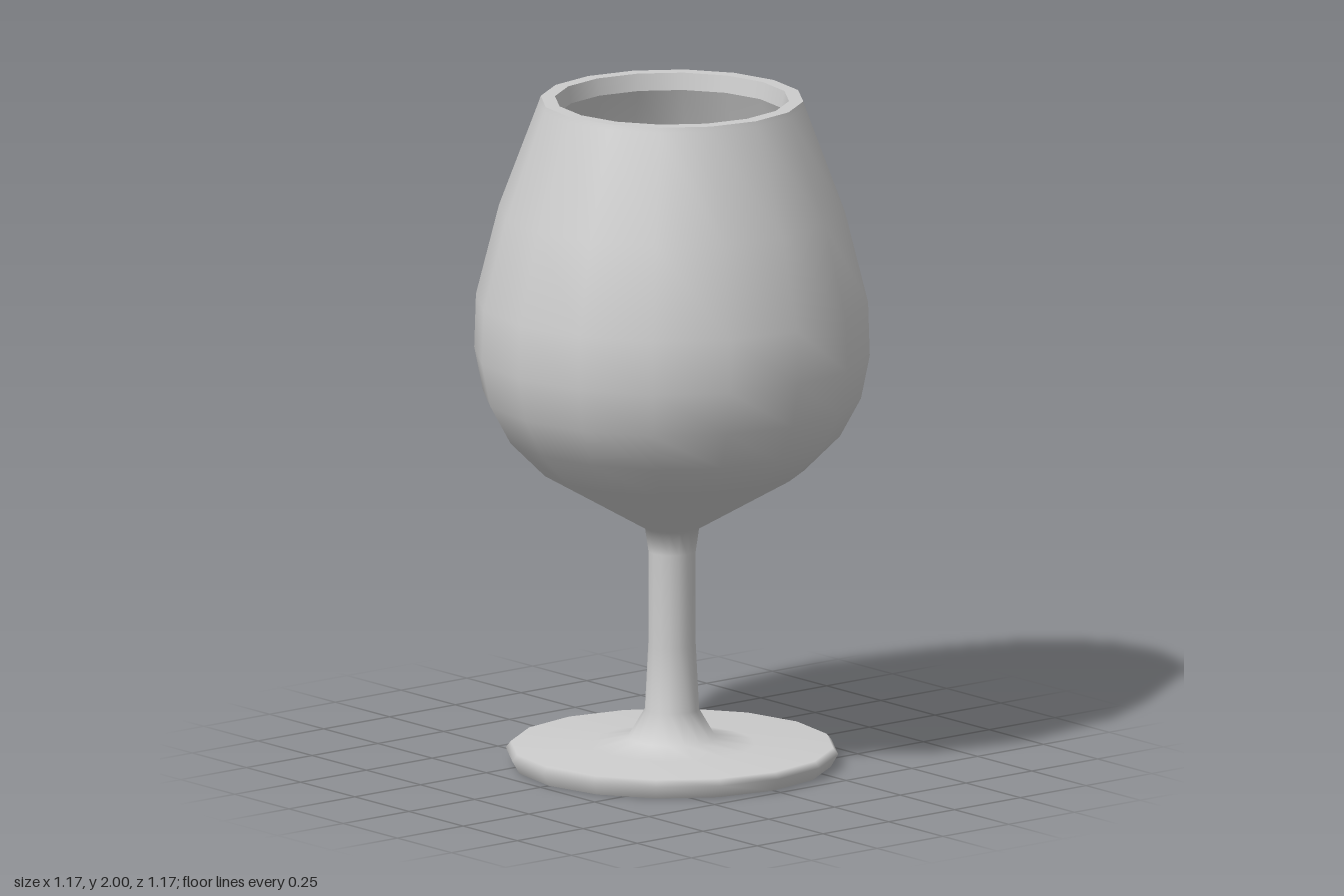
import * as THREE from 'three';

const SIDES = 16;

// Outside silhouette [radius, height], from the foot's lower edge up to the rim
const OUTSIDE = [
  [0.468, 0], [0.49, 0.038], [0.475, 0.057], [0.245, 0.06], [0.13, 0.08],
  [0.08, 0.165], [0.07, 0.36], [0.07, 0.64], [0.08, 0.71],
  [0.39, 0.89], [0.495, 0.995], [0.557, 1.11], [0.583, 1.24], [0.578, 1.4],
  [0.51, 1.67], [0.392, 1.985], [0.387, 2],
];

// Hollow of the bowl, from under the lip down to the centre
const INSIDE = [
  [0.335, 1.95], [0.455, 1.66], [0.525, 1.4], [0.53, 1.25], [0.505, 1.13],
  [0.45, 1.03], [0.36, 0.94], [0.1, 0.79], [0, 0.78],
];

// Turns a profile; from/to keep only some of its bands, with normals smooth across the cuts
function turned(profile, from = 0, to = profile.length - 1) {
  const geometry = new THREE.LatheGeometry(profile.map(([r, y]) => new THREE.Vector2(r, y)), SIDES);
  const all = geometry.index.array;
  const bands = profile.length - 1;
  const index = [];
  for (let side = 0; side < SIDES; side++) {
    const start = side * bands * 6;
    index.push(...all.slice(start + from * 6, start + to * 6));
  }
  geometry.setIndex(index);
  return geometry;
}

export function createModel() {
  const glass = new THREE.MeshStandardMaterial({ color: 0xcccccc });
  glass.name = 'pale grey glass';

  const model = new THREE.Group();
  model.name = 'stemmedGlass';
  const add = (name, geometry) => {
    const mesh = new THREE.Mesh(geometry, glass);
    mesh.name = name;
    model.add(mesh);
  };

  // Foot, stem and bowl share one continuous outer surface
  add('footUnderside', turned([[0, 0], [0.468, 0]]));
  add('foot', turned(OUTSIDE, 0, 4));
  add('stem', turned(OUTSIDE, 4, 8));
  add('bowlOutside', turned(OUTSIDE, 8));

  // Flat rim, short lip sloping inwards, then the hollow
  add('rim', turned([[0.387, 2], [0.345, 2]]));
  add('innerLip', turned([[0.345, 2], [0.335, 1.95]]));
  add('bowlInside', turned(INSIDE));

  return model;
}
